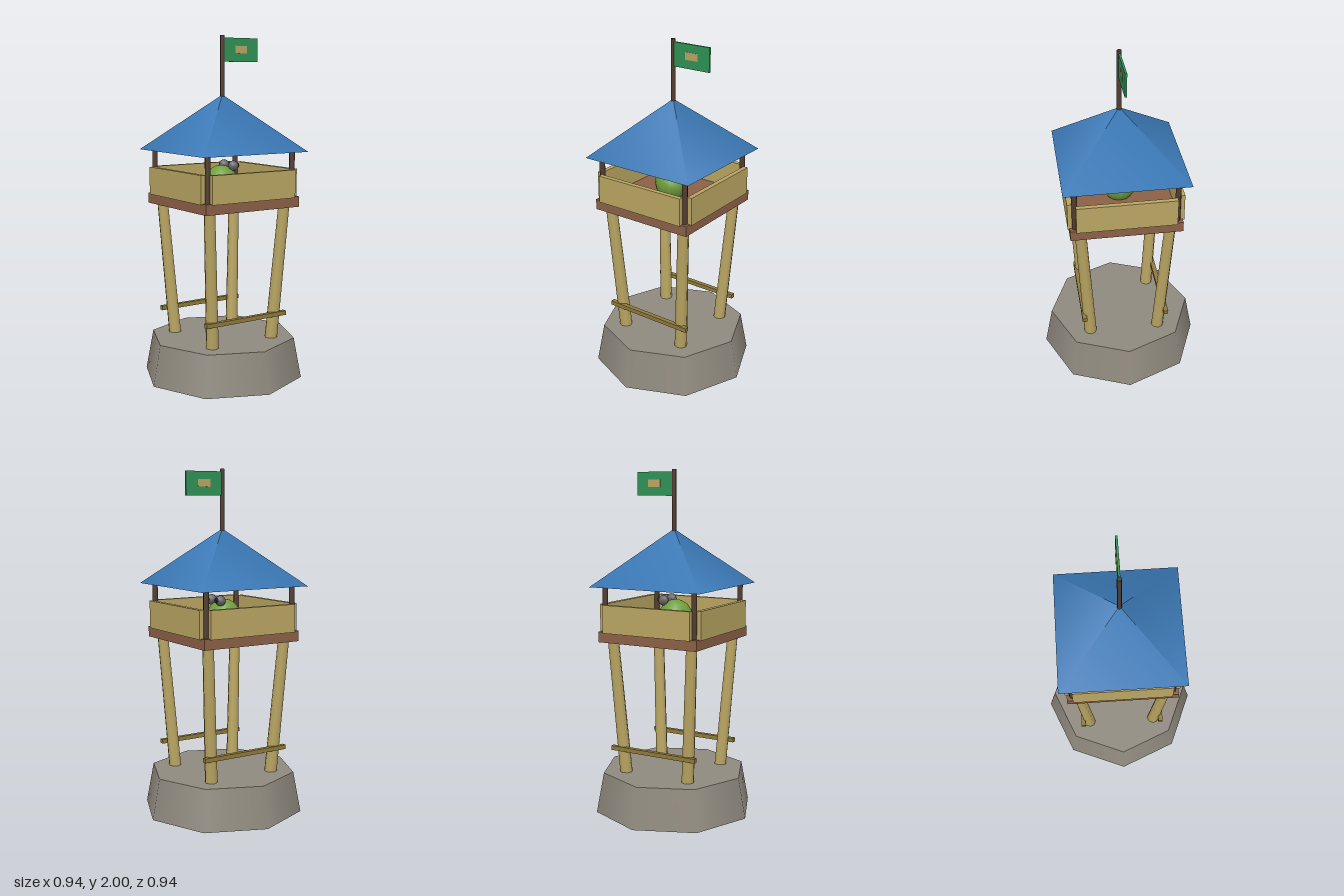
import * as THREE from 'three';

const mat = (name, color) => {
  const m = new THREE.MeshStandardMaterial({ color });
  m.name = name;
  return m;
};

export function createModel() {
  const stone = mat('stone', 0x8f897e);
  const bamboo = mat('bamboo', 0xb9a562);
  const railWood = mat('rail wood', 0x8f7a3a);
  const plank = mat('plank', 0x8b6047);
  const darkWood = mat('dark wood', 0x523c2e);
  const blue = mat('roof blue', 0x3a78b5);
  const green = mat('flag green', 0x2f9156);
  const moss = mat('moss green', 0x6f9e3c);
  const grey = mat('grey', 0x66666a);
  const black = mat('black', 0x222222);

  const model = new THREE.Group();
  model.name = 'watchtower';

  const add = (name, geometry, material, x, y, z) => {
    const mesh = new THREE.Mesh(geometry, material);
    mesh.name = name;
    mesh.position.set(x, y, z);
    model.add(mesh);
    return mesh;
  };
  const box = (name, material, w, h, d, x, y, z) =>
    add(name, new THREE.BoxGeometry(w, h, d), material, x, y, z);
  const up = new THREE.Vector3(0, 1, 0);

  // Eight-sided stone footing
  add('footing', new THREE.CylinderGeometry(0.425, 0.47, 0.235, 8), stone, 0, 0.1375, 0);

  // Leaning legs and upright roof posts at the four corners
  for (const sx of [-1, 1]) {
    for (const sz of [-1, 1]) {
      const a = new THREE.Vector3(sx * 0.19, 0.008, sz * 0.19);
      const b = new THREE.Vector3(sx * 0.254, 1.04, sz * 0.254);
      const dir = b.clone().sub(a);
      const mid = a.clone().add(b).multiplyScalar(0.5);
      const leg = add('leg', new THREE.CylinderGeometry(0.032, 0.038, dir.length(), 8),
        bamboo, mid.x, mid.y, mid.z);
      leg.quaternion.setFromUnitVectors(up, dir.normalize());
      add('roofPost', new THREE.CylinderGeometry(0.016, 0.016, 0.27, 8),
        darkWood, sx * 0.285, 1.22, sz * 0.285);
    }
  }

  // Platform, side walls and the two cross rails
  box('platform', plank, 0.63, 0.06, 0.63, 0, 1.06, 0);
  for (const s of [-1, 1]) {
    box('wall', bamboo, 0.56, 0.16, 0.028, 0, 1.165, s * 0.311);
    box('sideWall', bamboo, 0.028, 0.16, 0.56, s * 0.311, 1.165, 0);
    box('crossRail', railWood, 0.55, 0.025, 0.027, 0, 0.4, s * 0.244);
  }

  // Pyramid roof
  const roof = add('roof', new THREE.ConeGeometry(0.35 * Math.SQRT2, 0.32, 4), blue, 0, 1.505, 0);
  roof.rotation.y = Math.PI / 4;

  // Flagpole, flag and its plain patch on both faces
  add('flagpole', new THREE.CylinderGeometry(0.013, 0.013, 0.35, 8), darkWood, 0, 1.825, 0);
  box('flag', green, 0.23, 0.135, 0.012, 0.125, 1.918, 0);
  box('flagPatch', bamboo, 0.08, 0.042, 0.018, 0.125, 1.92, -0.001);

  // Round lookout on the platform, with two eyes facing the left side
  add('lookoutBody', new THREE.SphereGeometry(0.098, 12, 8), moss, -0.01, 1.165, 0);
  for (const s of [-1, 1]) {
    add('eye', new THREE.SphereGeometry(0.031, 8, 6), grey, 0.043, 1.258, s * 0.047);
    const pupil = add('pupil', new THREE.CylinderGeometry(0.013, 0.017, 0.012, 6),
      black, 0.071, 1.26, s * 0.047);
    pupil.rotation.z = -Math.PI / 2;
  }

  return model;
}
